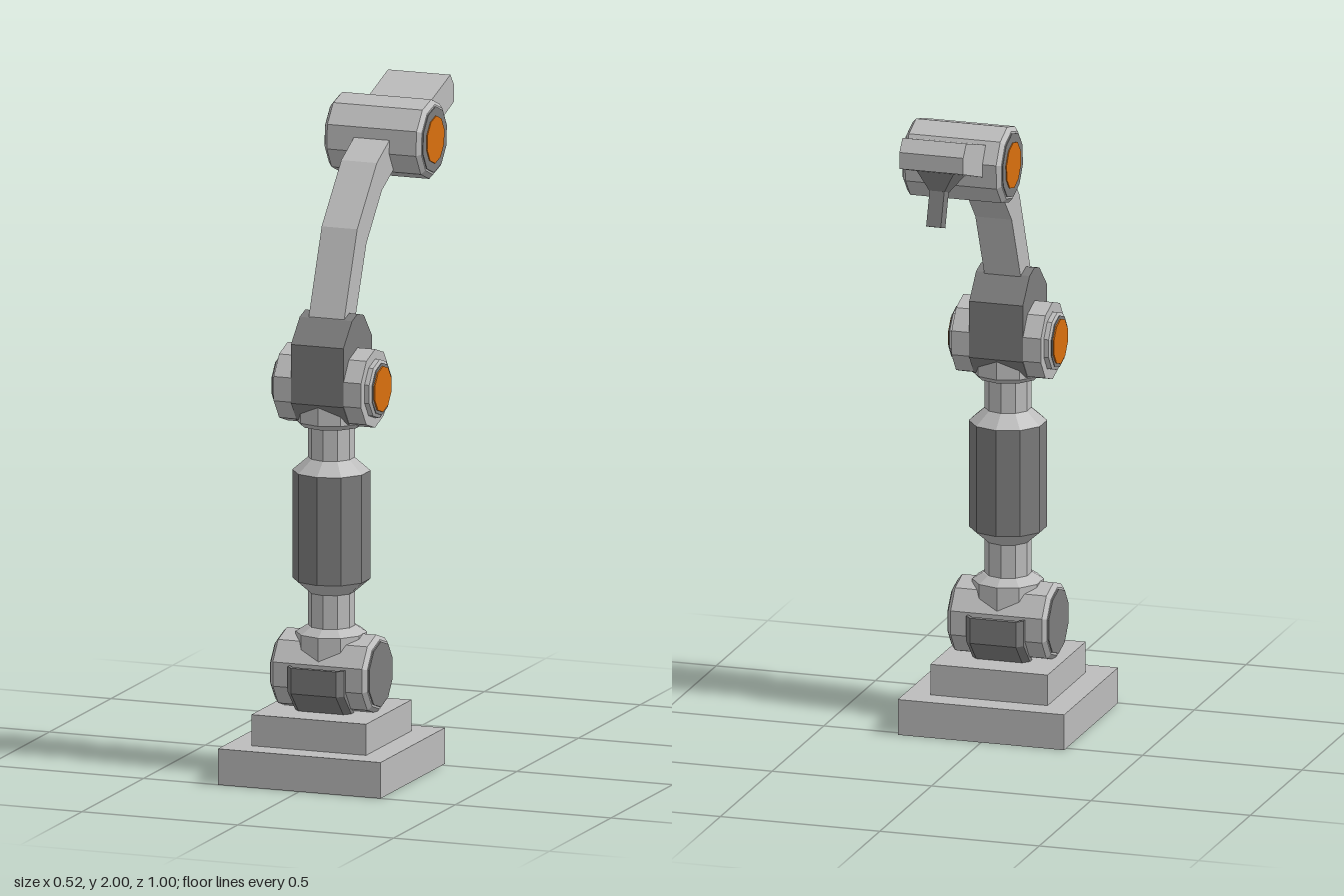
import * as THREE from 'three';

const material = (name, color) => {
  const m = new THREE.MeshStandardMaterial({ color });
  m.name = name;
  return m;
};

// Hard facets on every face
function faceted(geometry) {
  const g = geometry.index ? geometry.toNonIndexed() : geometry;
  g.computeVertexNormals();
  return g;
}

// Ten-sided solid of revolution about y; points are [radius, height], bottom up
const lathe = (points) =>
  faceted(new THREE.LatheGeometry(points.map(([r, y]) => new THREE.Vector2(r, y)), 10));

// Lathe laid along x; turn is the angle of the first corner from +z towards up
const axle = (points, turn) => lathe(points).rotateZ(-Math.PI / 2).rotateX(-turn);

// Side profile of [z, y] points extruded across x
function profile(points, width, steps = 1) {
  const shape = new THREE.Shape(points.map(([z, y]) => new THREE.Vector2(-z, y)));
  const g = new THREE.ExtrudeGeometry(shape, { depth: width, steps, bevelEnabled: false });
  return g.translate(0, 0, -width / 2).rotateY(Math.PI / 2);
}

export function createModel() {
  const root = new THREE.Group();
  root.name = 'robotArm';
  const light = material('lightGrey', 0xbcbcbc);
  const dark = material('darkGrey', 0x7c7c7c);
  const orange = material('orange', 0xd96f0e);
  const AXIS = 0.24;

  function add(name, geometry, mat, y = 0, z = 0, parent = root) {
    const mesh = new THREE.Mesh(geometry, mat);
    mesh.name = name;
    mesh.position.set(0, y, z);
    parent.add(mesh);
    return mesh;
  }

  // Thin round plates on both ends of a joint
  function endPlates(name, radius, x, mat, turn, y, z) {
    for (const side of [-1, 1]) {
      const g = axle([[0, -0.003], [radius, -0.003], [radius, 0.003], [0, 0.003]], turn);
      add(name, g, mat, y, z).position.x = side * x;
    }
  }

  // Stepped plinth
  add('basePlate', new THREE.BoxGeometry(0.522, 0.11, 0.522), light, 0.055, AXIS);
  add('baseStep', new THREE.BoxGeometry(0.368, 0.096, 0.368), light, 0.157, AXIS);

  // Base joint
  const upright = Math.PI / 10;
  const drum = [[0, -0.155], [0.106, -0.155], [0.12, -0.143], [0.12, 0.143], [0.106, 0.155], [0, 0.155]];
  add('baseJoint', axle(drum, upright), light, 0.318, AXIS);
  endPlates('baseJointPlate', 0.1, 0.156, dark, upright, 0.318, AXIS);

  // Bent guards in front of and behind the base joint
  const guardShape = [[0.147, 0.348], [0.147, 0.27], [0.086, 0.205], [0.065, 0.205], [0.131, 0.276], [0.131, 0.348]];
  const guard = profile(guardShape, 0.18, 3);
  const p = guard.attributes.position;
  for (let i = 0; i < p.count; i++) {
    const x = p.getX(i);
    if (Math.abs(x) > 0.08) p.setZ(i, p.getZ(i) - 0.02);
    else p.setX(i, Math.sign(x) * 0.072);
  }
  const guardGeometry = faceted(guard);
  for (const turn of [0, Math.PI]) add('guard', guardGeometry, dark, 0, AXIS).rotation.y = turn;

  // Column with a dark sleeve
  add('lowerColumn', lathe([[0, 0.34], [0.107, 0.34], [0.107, 0.437], [0.075, 0.457], [0.07, 0.457],
    [0.07, 0.56], [0.117, 0.6], [0, 0.6]]), light, 0, AXIS);
  add('columnSleeve', lathe([[0.117, 0.6], [0.117, 0.93]]), dark, 0, AXIS);
  add('upperColumn', lathe([[0, 0.93], [0.117, 0.93], [0.07, 0.97], [0.07, 1.07], [0.095, 1.07],
    [0.11, 1.085], [0.11, 1.15], [0, 1.15]]), light, 0, AXIS);

  // Elbow joint with stepped ends
  add('elbowJoint', axle([[0, -0.16], [0.08, -0.16], [0.09, -0.155], [0.09, -0.14], [0.12, -0.14],
    [0.12, 0.14], [0.09, 0.14], [0.09, 0.155], [0.08, 0.16], [0, 0.16]], upright), light, 1.19, AXIS);
  endPlates('elbowPlate', 0.08, 0.159, dark, upright, 1.19, AXIS);
  endPlates('elbowCap', 0.07, 0.163, orange, upright, 1.19, AXIS);

  // Elbow housing holding the arm
  add('elbowHousing', profile([[0.116, 1.33], [0.045, 1.4], [0, 1.413], [-0.05, 1.4], [-0.116, 1.325],
    [-0.116, 1.15], [-0.071, 1.09], [0, 1.068], [0.071, 1.09], [0.116, 1.15]], 0.168), dark, 0, AXIS);

  // Curved arm
  add('forearm', profile([[0.31, 1.33], [0.281, 1.4], [0.175, 1.656], [0.016, 1.826], [-0.09, 1.876],
    [-0.2, 1.91], [-0.2, 1.81], [-0.13, 1.783], [-0.026, 1.735], [0.1, 1.598], [0.185, 1.4], [0.215, 1.33]],
    0.114), light);

  // Wrist joint
  const tilt = THREE.MathUtils.degToRad(22);
  add('wristJoint', axle(drum, tilt), light, 1.862, -0.2);
  endPlates('wristPlate', 0.1, 0.155, dark, tilt, 1.862, -0.2);
  endPlates('wristCap', 0.072, 0.158, orange, tilt, 1.862, -0.2);

  // Hand bar
  add('hand', profile([[-0.2, 1.918], [-0.28, 1.942], [-0.472, 2], [-0.502, 1.963], [-0.502, 1.912],
    [-0.318, 1.852], [-0.2, 1.815]], 0.2), light);

  // Tool: tapered mount and square finger
  const tool = new THREE.Group();
  tool.name = 'tool';
  tool.position.set(0, 1.877, -0.411);
  tool.rotation.x = 0.31;
  root.add(tool);
  const mount = new THREE.CylinderGeometry(0.058 * Math.SQRT2, 0.024 * Math.SQRT2, 0.055, 4).rotateY(Math.PI / 4);
  add('toolMount', faceted(mount), dark, -0.0225, 0, tool);
  add('toolFinger', new THREE.BoxGeometry(0.046, 0.115, 0.046), dark, -0.1, 0, tool);

  return root;
}
